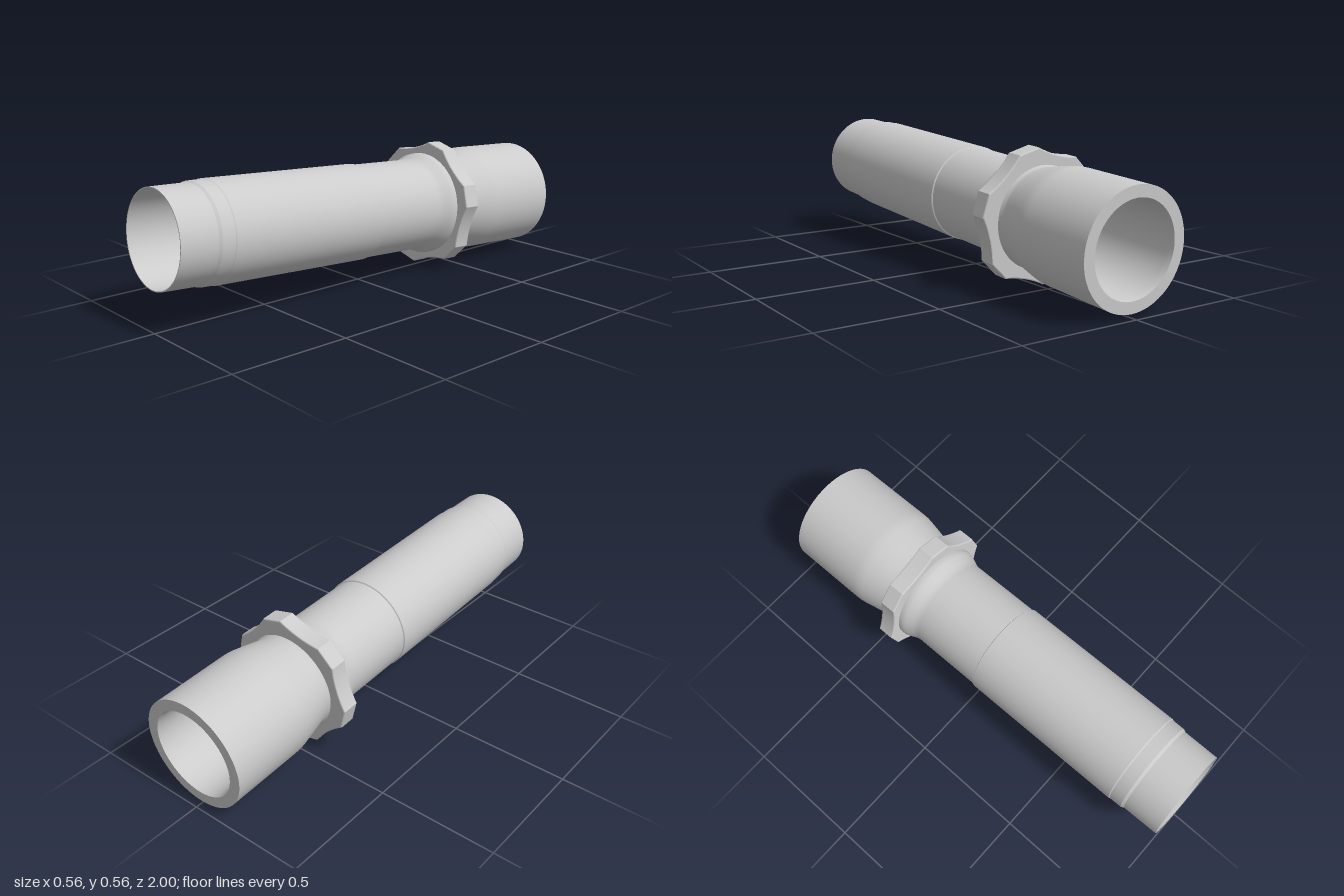
import * as THREE from 'three';

const TILT = 0.0557;
const material = new THREE.MeshStandardMaterial({ color: 0xcccccc, side: THREE.DoubleSide });

export function createModel() {
  const model = new THREE.Group();
  model.name = 'tubeFitting';

  // everything is turned around one axis that rises towards the front
  const axis = new THREE.Group();
  axis.name = 'tiltedBody';
  axis.position.y = 0.305;
  axis.rotation.x = -TILT;
  model.add(axis);

  const add = (name, geometry, parent = axis) => {
    const mesh = new THREE.Mesh(geometry, material);
    mesh.name = name;
    parent.add(mesh);
    return mesh;
  };

  // points are [radius, position along the axis]; rising order faces outwards
  const lathe = (name, points) => {
    const g = new THREE.LatheGeometry(points.map(([r, s]) => new THREE.Vector2(r, s)), 96);
    g.rotateX(Math.PI / 2);
    return add(name, g);
  };

  // outer skin, split where the edges are sharp
  lathe('rearSocket', [
    [0.234, -0.988], [0.234, -0.8], [0.234, -0.65], [0.233, -0.625], [0.229, -0.6],
    [0.217, -0.54], [0.205, -0.485], [0.204, -0.47], [0.209, -0.455],
  ]);
  lathe('collar', [
    [0.224, -0.42], [0.224, -0.375], [0.223, -0.362], [0.219, -0.35],
    [0.207, -0.322], [0.202, -0.308], [0.2, -0.29], [0.2, -0.15], [0.2, 0.025],
  ]);
  lathe('bodyStep', [[0.2, 0.025], [0.205, 0.028]]);
  lathe('mainBody', [[0.205, 0.028], [0.2045, 0.76]]);
  lathe('frontBand', [[0.202, 0.765], [0.201, 0.82]]);
  lathe('bandStepRear', [[0.2045, 0.76], [0.202, 0.765]]);
  lathe('bandStepFront', [[0.201, 0.82], [0.195, 0.832]]);
  lathe('frontSpigot', [[0.195, 0.832], [0.193, 0.99]]);

  // rims
  lathe('frontRim', [[0.193, 0.99], [0.189, 0.99]]);
  lathe('rearRim', [[0.187, -0.988], [0.234, -0.988]]);

  // front bore with a rounded closed end
  lathe('frontBore', [
    [0.189, 0.99], [0.187, 0.5], [0.185, 0], [0.184, -0.44], [0.18, -0.465],
    [0.168, -0.485], [0.145, -0.495], [0.07, -0.498], [0, -0.498],
  ]);

  // rear bore with a rounded closed end
  lathe('rearBore', [
    [0, -0.512], [0.07, -0.512], [0.145, -0.516], [0.165, -0.526],
    [0.177, -0.545], [0.18, -0.575], [0.182, -0.96], [0.187, -0.988],
  ]);

  // six-lobed nut with hollowed flats
  const polar = (deg, r) => {
    const a = THREE.MathUtils.degToRad(deg);
    return [Math.cos(a) * r, Math.sin(a) * r];
  };
  const bevel = 0.005;
  const R = 0.279 - bevel;
  const shape = new THREE.Shape();
  shape.moveTo(...polar(5.5, R));
  for (let i = 0; i < 6; i++) {
    const mid = 15 + i * 60;
    shape.lineTo(...polar(mid + 9.5, R));
    shape.quadraticCurveTo(...polar(mid + 30, 0.237), ...polar(mid + 50.5, R));
  }
  const hole = new THREE.Path();
  hole.absarc(0, 0, 0.195, 0, Math.PI * 2, true);
  shape.holes.push(hole);
  const nut = new THREE.ExtrudeGeometry(shape, {
    depth: 0.075 - 2 * bevel, bevelEnabled: true, bevelThickness: bevel,
    bevelSize: bevel, bevelSegments: 2, curveSegments: 16,
  });
  nut.translate(0, 0, -0.457 + bevel);
  add('nut', nut);

  // small button on the underside
  const button = add('button', new THREE.SphereGeometry(1, 32, 16));
  button.scale.set(0.031, 0.015, 0.031);
  const a = THREE.MathUtils.degToRad(14);
  button.position.set(-Math.sin(a) * 0.199, -Math.cos(a) * 0.199, -0.12);
  button.rotation.z = -a;

  return model;
}
